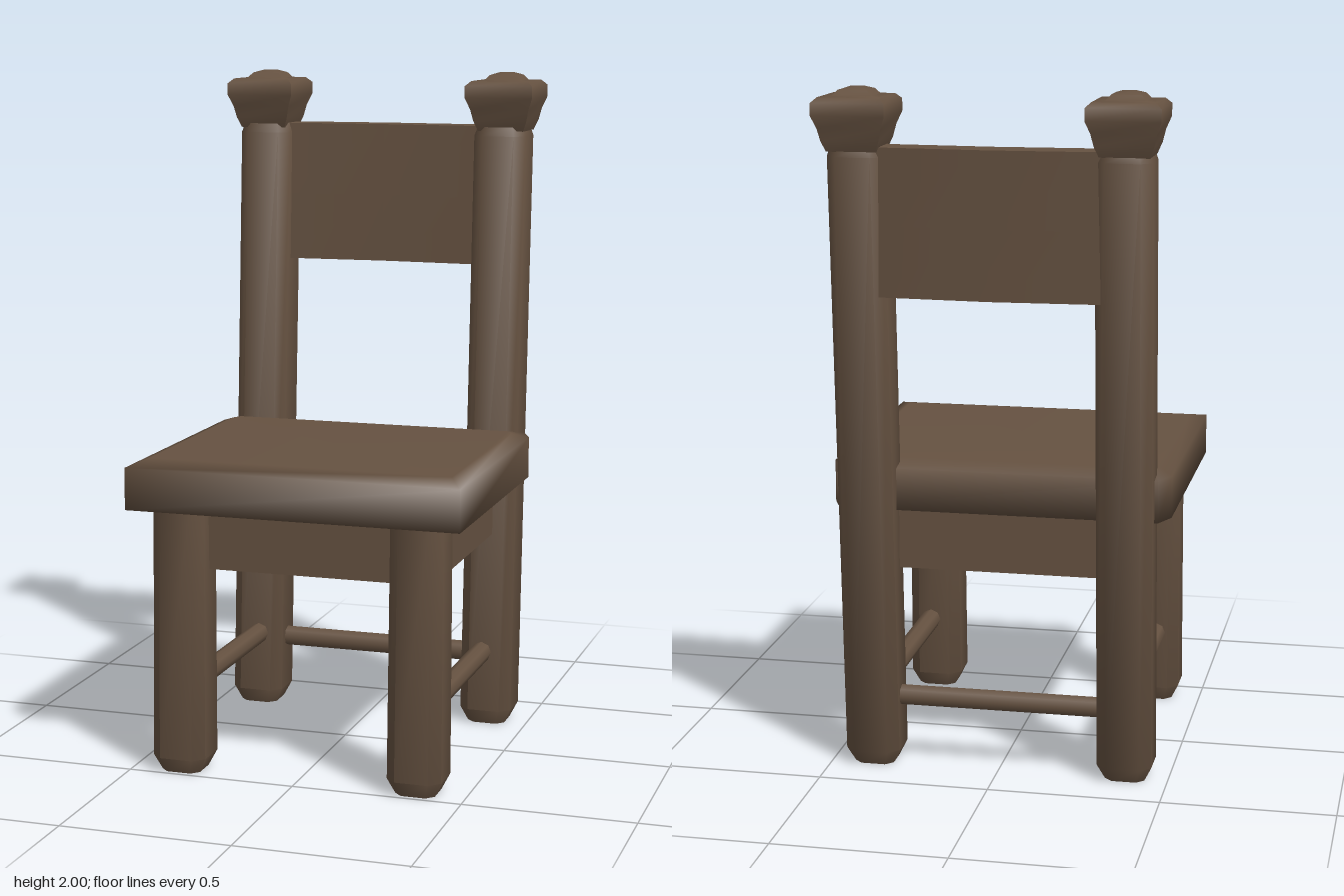
import * as THREE from 'three';
import { toCreasedNormals } from 'three/addons/utils/BufferGeometryUtils.js';

// Skin a stack of rings, each listed counter-clockwise seen from above, bottom to top.
function loft(rings) {
  const n = rings[0].length, last = (rings.length - 1) * n, index = [];
  for (let i = 0; i < rings.length - 1; i++) {
    for (let j = 0; j < n; j++) {
      const a = i * n + j, b = i * n + (j + 1) % n;
      index.push(a, b, b + n, a, b + n, a + n);
    }
  }
  for (let k = 1; k < n - 1; k++) {
    index.push(0, k + 1, k, last, last + k, last + k + 1);
  }
  const geometry = new THREE.BufferGeometry();
  geometry.setAttribute('position', new THREE.Float32BufferAttribute(rings.flat(2), 3));
  geometry.setIndex(index);
  geometry.computeVertexNormals();
  return geometry;
}

// Square ring, with its corners cut by c when c > 0.
function squareRing(x, y, z, h, c = 0) {
  const k = h - c;
  const plan = c
    ? [[h, k], [h, -k], [k, -h], [-k, -h], [-h, -k], [-h, k], [-k, h], [k, h]]
    : [[h, h], [h, -h], [-h, -h], [-h, h]];
  return plan.map(([px, pz]) => [x + px, y, z + pz]);
}

export function createModel() {
  const group = new THREE.Group();
  const wood = new THREE.MeshStandardMaterial({ color: 0x665241 });
  wood.name = 'dark wood';

  function add(name, geometry, x = 0, y = 0, z = 0) {
    const mesh = new THREE.Mesh(geometry, wood);
    mesh.name = name;
    mesh.position.set(x, y, z);
    group.add(mesh);
    return mesh;
  }

  // Seat slab with clipped back corners and a shallow bevel on top
  const seatRing = (y, w, front, shoulder, back, wBack) => [
    [w, y, front], [w, y, shoulder], [wBack, y, back],
    [-wBack, y, back], [-w, y, shoulder], [-w, y, front],
  ];
  add('seat', loft([
    seatRing(0.78, 0.495, 0.52, -0.29, -0.36, 0.465),
    seatRing(0.903, 0.495, 0.52, -0.29, -0.36, 0.465),
    seatRing(0.92, 0.45, 0.44, -0.25, -0.28, 0.435),
  ]));

  // Apron block under the seat
  add('apron', new THREE.BoxGeometry(0.78, 0.19, 0.75), 0, 0.695, 0.045);

  // Leaning leg: rows of [height, half width]
  const leg = (x, zAt, rows) => toCreasedNormals(
    loft(rows.map(([y, h]) => squareRing(x, y, zAt(y), h, h * 0.38))), 0.9);
  const frontZ = (y) => 0.426 - 0.02 * y;
  const backZ = (y) => -0.306 - 0.06 * y;

  // Square finial: rows of [height, half width]
  const finialRows = [
    [1.825, 0.07], [1.855, 0.082], [1.89, 0.09], [1.925, 0.104], [1.96, 0.104],
    [1.975, 0.088], [1.977, 0.055], [1.992, 0.042], [2.0, 0.018],
  ];

  for (const [side, s] of [['left', 1], ['right', -1]]) {
    add(side + 'FrontLeg', leg(s * 0.355, frontZ, [[0, 0.058], [0.045, 0.08], [0.8, 0.077]]));
    add(side + 'BackPost', leg(s * 0.375, backZ, [[0, 0.058], [0.045, 0.08], [1.81, 0.08], [1.84, 0.07]]));
    add(side + 'Finial', toCreasedNormals(
      loft(finialRows.map(([y, h]) => squareRing(s * 0.38, y, -0.42, h))), 0.9));
    const rail = add(side + 'Stretcher', new THREE.CylinderGeometry(0.031, 0.031, 0.72, 8), s * 0.365, 0.23, 0.05);
    rail.rotation.x = Math.PI / 2;
  }

  // Rear stretcher
  const rear = add('rearStretcher', new THREE.CylinderGeometry(0.031, 0.031, 0.7, 8), 0, 0.207, -0.32);
  rear.rotation.z = Math.PI / 2;

  // Backrest board, leaning and bowed to the rear at its middle
  const boardRing = (y, front, back) => [
    [0, y, front - 0.015], [0.34, y, front], [0.34, y, back],
    [0, y, back - 0.016], [-0.34, y, back], [-0.34, y, front],
  ];
  add('backrest', toCreasedNormals(loft([
    boardRing(1.418, -0.36, -0.458),
    boardRing(1.62, -0.37, -0.466),
    boardRing(1.838, -0.381, -0.475),
  ]), 1.0));

  return group;
}
